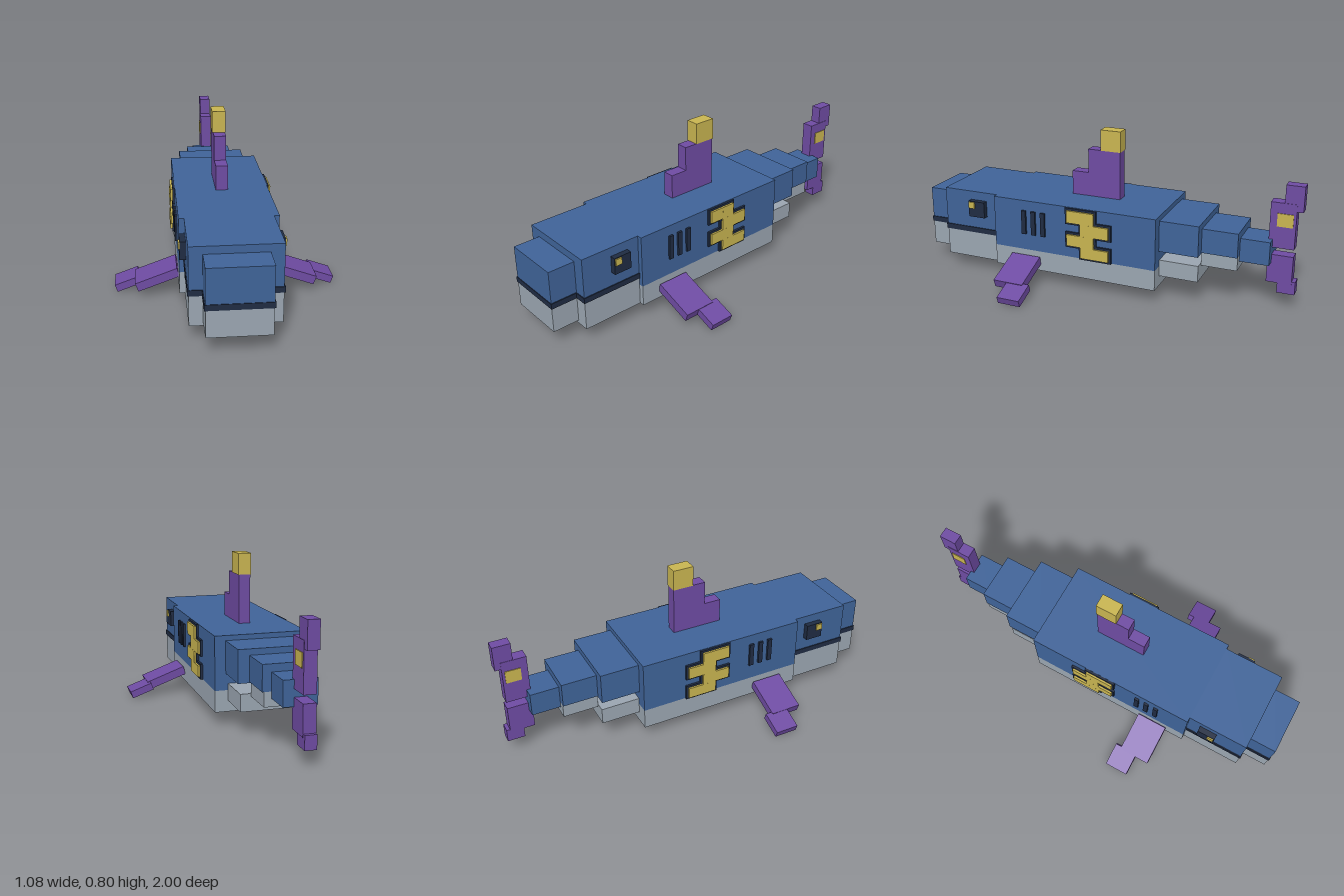
import * as THREE from 'three';

const mat = (name, color) => {
  const m = new THREE.MeshStandardMaterial({ color });
  m.name = name;
  return m;
};

export function createModel() {
  const blue = mat('blue hull', 0x3f6398);
  const grey = mat('grey belly', 0x9aa5b0);
  const navy = mat('dark navy', 0x1f2b42);
  const purple = mat('purple fin', 0x6e4ba2);
  const gold = mat('gold', 0xc8b450);

  const model = new THREE.Group();
  model.name = 'blockShark';

  // Box given by its limits on each axis
  const box = (name, material, [x0, x1], [y0, y1], [z0, z1], parent = model) => {
    const mesh = new THREE.Mesh(new THREE.BoxGeometry(x1 - x0, y1 - y0, z1 - z0), material);
    mesh.position.set((x0 + x1) / 2, (y0 + y1) / 2, (z0 + z1) / 2);
    mesh.name = name;
    parent.add(mesh);
    return mesh;
  };
  // Box centred on x = 0 with half width w
  const mid = (name, material, w, y, z) => box(name, material, [-w, w], y, z);

  // Body
  mid('bodyBack', blue, 0.232, [0.182, 0.45], [-0.34, 0.55]);
  mid('bodyBelly', grey, 0.232, [0.075, 0.182], [-0.34, 0.55]);

  // Head and snout, with the dark mouth line between back and jaw
  mid('headTop', blue, 0.207, [0.248, 0.45], [0.55, 0.862]);
  mid('headJaw', grey, 0.207, [0.075, 0.22], [0.55, 0.862]);
  mid('headMouth', navy, 0.212, [0.22, 0.248], [0.55, 0.866]);
  mid('snoutTop', blue, 0.145, [0.248, 0.413], [0.862, 0.997]);
  mid('snoutJaw', grey, 0.145, [0.092, 0.22], [0.862, 0.997]);
  mid('snoutMouth', navy, 0.15, [0.22, 0.248], [0.862, 1]);

  // Stepped tail
  mid('tailFront', blue, 0.178, [0.265, 0.425], [-0.54, -0.34]);
  mid('tailFrontBelly', grey, 0.167, [0.13, 0.215], [-0.54, -0.34]);
  mid('tailMiddle', blue, 0.123, [0.27, 0.395], [-0.72, -0.54]);
  mid('tailMiddleBelly', grey, 0.115, [0.2, 0.27], [-0.72, -0.54]);
  mid('tailEnd', blue, 0.08, [0.238, 0.358], [-0.865, -0.72]);

  // Tail fin
  mid('tailFinUpper', purple, 0.03, [0.317, 0.547], [-0.97, -0.845]);
  mid('tailFinUpperTip', purple, 0.028, [0.51, 0.638], [-1, -0.91]);
  mid('tailFinLower', purple, 0.03, [0.135, 0.28], [-0.97, -0.845]);
  mid('tailFinLowerTip', purple, 0.028, [0.083, 0.15], [-0.988, -0.9]);
  mid('tailFinMark', gold, 0.034, [0.428, 0.494], [-0.957, -0.88]);

  // Dorsal fin
  mid('dorsalBase', purple, 0.03, [0.45, 0.575], [-0.073, 0.193]);
  mid('dorsalUpper', purple, 0.03, [0.575, 0.7], [-0.073, 0.103]);
  mid('dorsalTip', gold, 0.034, [0.7, 0.808], [-0.075, 0.034]);

  // Emblem bars as [y range, z range]
  const emblem = [
    [[0.373, 0.437], [-0.02, 0.127]],
    [[0.192, 0.437], [-0.02, 0.052]],
    [[0.31, 0.373], [-0.1, 0.052]],
    [[0.25, 0.31], [-0.02, 0.127]],
    [[0.192, 0.25], [-0.1, 0.052]],
  ];
  const grow = ([a, b], d) => [a - d, b + d];

  for (const [side, s] of [['left', 1], ['right', -1]]) {
    const group = new THREE.Group();
    group.name = side + 'Details';
    model.add(group);
    const out = (name, material, a, b, y, z) =>
      box(name, material, s > 0 ? [a, b] : [-b, -a], y, z, group);

    // Eye
    out('eye', navy, 0.2, 0.235, [0.318, 0.404], [0.613, 0.706]);
    out('pupil', gold, 0.23, 0.242, [0.366, 0.4], [0.668, 0.702]);

    // Gill slits
    for (const z of [0.268, 0.322, 0.376])
      out('gill', navy, 0.225, 0.243, [0.27, 0.397], [z - 0.012, z + 0.012]);

    // Emblem with dark border; bars nest slightly so no faces coincide
    emblem.forEach(([y, z], i) => {
      const e = i * 0.0002;
      out('emblemBorder', navy, 0.225, 0.243 + e, grow(y, 0.011), grow(z, 0.011));
      out('emblemBar', gold, 0.23, 0.253 + e, y, z);
    });

    // Side fin sloping down and outward
    const fin = new THREE.Group();
    fin.name = side + 'SideFin';
    fin.position.set(s * 0.232, 0.133, 0);
    fin.rotation.z = -s * THREE.MathUtils.degToRad(20);
    group.add(fin);
    const span = (a, b) => (s > 0 ? [a, b] : [-b, -a]);
    box('finPlate', purple, span(0, 0.213), [-0.022, 0.022], [0.288, 0.45], fin);
    box('finTip', purple, span(0.2, 0.32), [-0.019, 0.019], [0.255, 0.377], fin);
  }
  return model;
}
